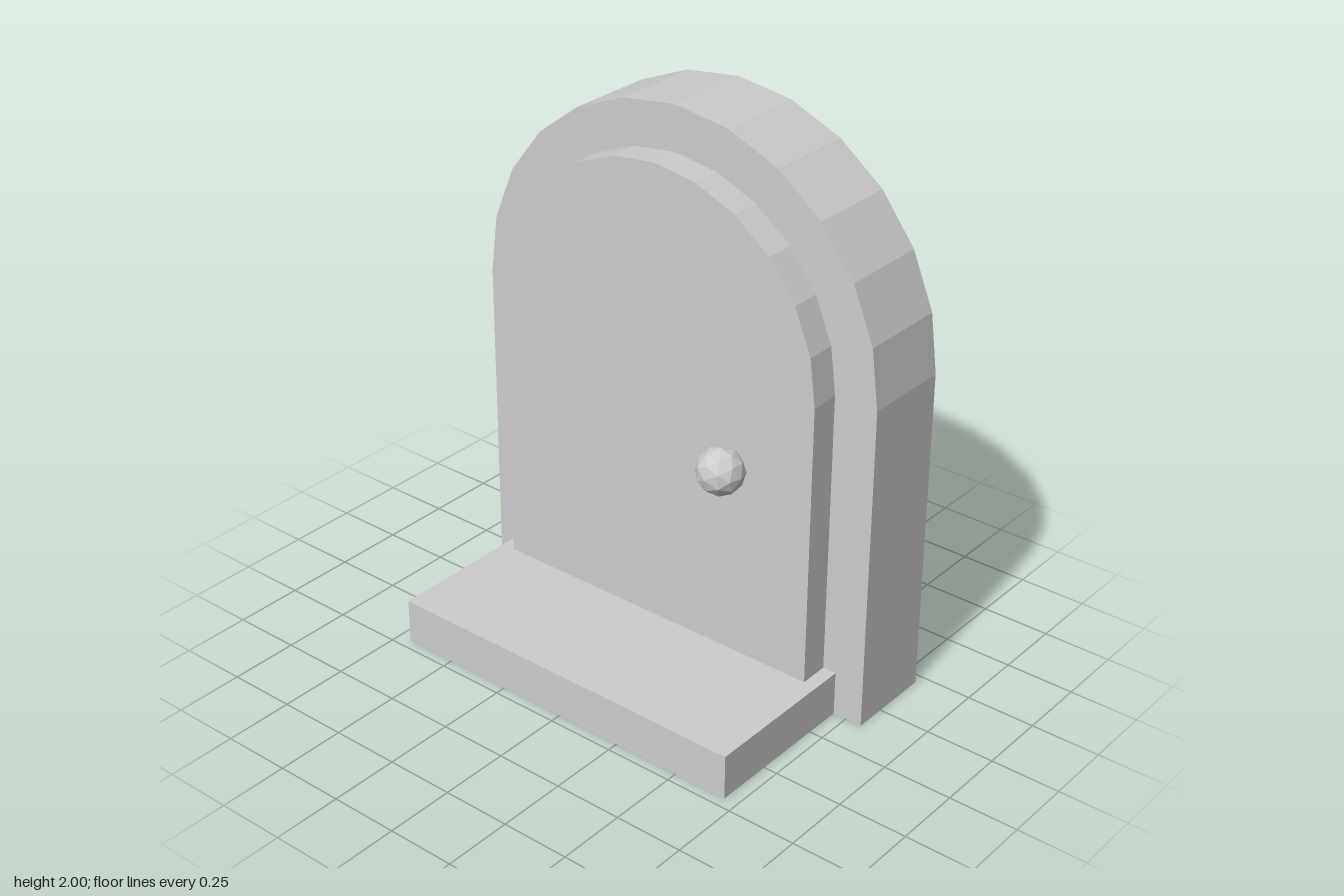
import * as THREE from 'three';

const stone = new THREE.MeshStandardMaterial({ color: 0xcccccc });
stone.name = 'plainGrey';

const SPRING_Y = 1.19; // height where the arches begin

// Upright slab with a 12-sided half-round top, from z0 to z1
function archSlab(radius, bottom, z0, z1) {
  const shape = new THREE.Shape();
  shape.moveTo(-radius, bottom);
  shape.lineTo(radius, bottom);
  for (let i = 0; i <= 12; i++) {
    const a = (i / 12) * Math.PI;
    shape.lineTo(radius * Math.cos(a), SPRING_Y + radius * Math.sin(a));
  }
  shape.closePath();
  return new THREE.ExtrudeGeometry(shape, { depth: z1 - z0, bevelEnabled: false }).translate(0, 0, z0);
}

export function createModel() {
  const group = new THREE.Group();
  group.name = 'archedDoor';
  const add = (name, geometry) => {
    const mesh = new THREE.Mesh(geometry, stone);
    mesh.name = name;
    group.add(mesh);
    return mesh;
  };

  // Surround and the raised door leaf
  add('doorFrame', archSlab(0.81, 0, -0.46, -0.135));
  add('doorPanel', archSlab(0.65, 0.16, -0.135, -0.027));

  // Doorstep
  add('doorstep', new THREE.BoxGeometry(1.4, 0.163, 0.595)).position.set(0, 0.0815, 0.1625);

  // Faceted knob, half a facet deep in the door
  const knob = new THREE.IcosahedronGeometry(0.084, 1);
  knob.computeVertexNormals(); // separate corners give flat facets
  add('doorKnob', knob).position.set(0.322, 0.868, 0.018);

  return group;
}
